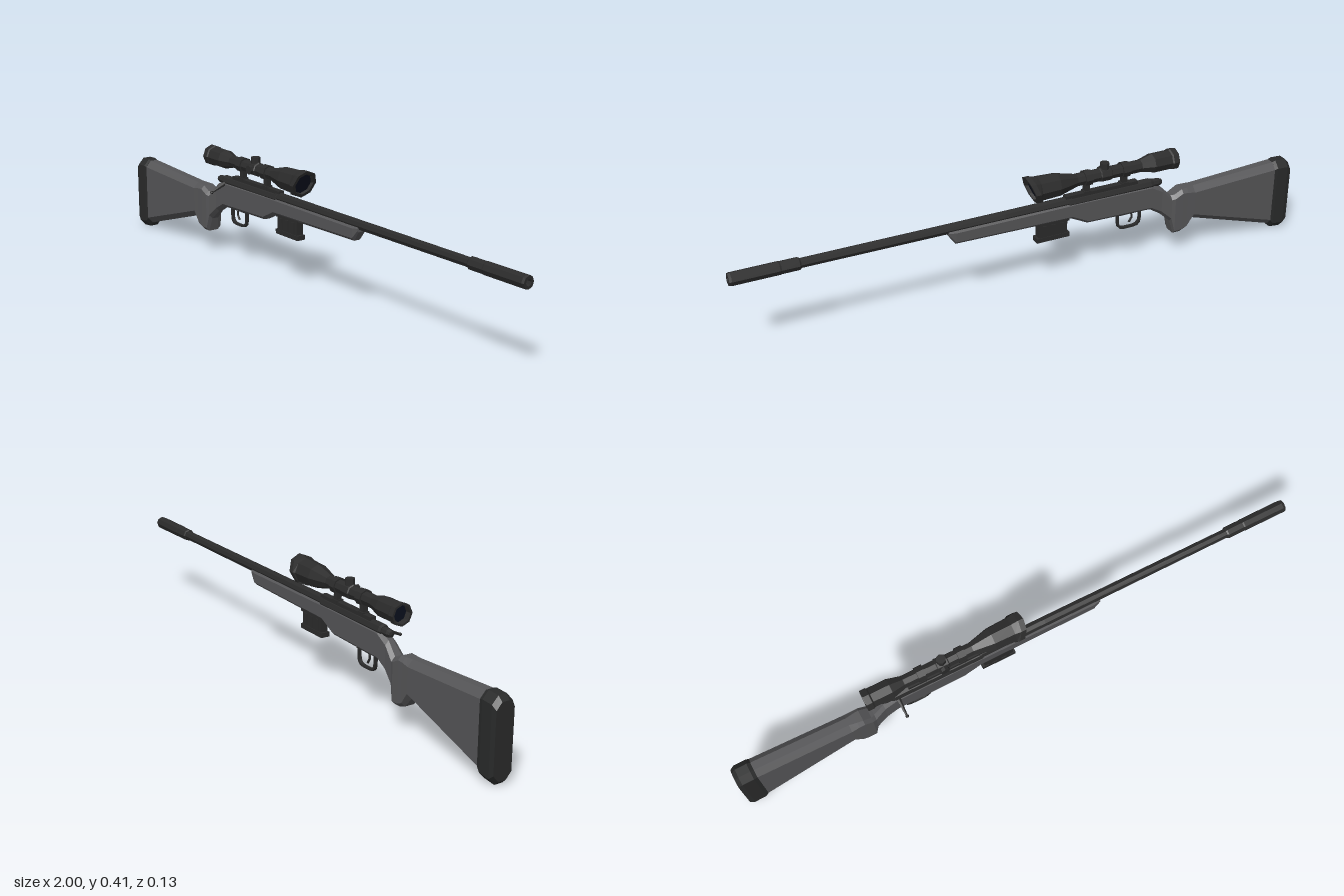
import * as THREE from 'three';

const mat = (color, extra = {}) =>
  new THREE.MeshStandardMaterial({ color, flatShading: true, ...extra });

export function createModel() {
  const root = new THREE.Group();
  const stockMat = mat(0x555557), metal = mat(0x2b2b2b), pad = mat(0x292a2a);
  const glass = mat(0x0a101d, { side: THREE.DoubleSide });

  const add = (name, geo, material, x = 0, y = 0, z = 0) => {
    const m = new THREE.Mesh(geo, material);
    m.name = name;
    m.position.set(x, y, z);
    root.add(m);
  };
  const box = (name, w, h, d, x, y) =>
    add(name, new THREE.BoxGeometry(w, h, d), metal, x, y);

  // Turned part along x from [x, radius] pairs
  const turned = (profile, sides = 8) => new THREE.LatheGeometry(
    profile.map(([x, r]) => new THREE.Vector2(r, x)), sides).rotateZ(-Math.PI / 2);

  // Chamfered loft along x; sections are [x, bottom, top, halfWidth, chamfer]
  const loft = (sections) => {
    const pos = [], index = [], n = 8;
    for (const [x, b, t, w, c] of sections) {
      const cw = Math.min(c, w * 0.6);
      for (const [y, z] of [[b, w - cw], [b + c, w], [t - c, w], [t, w - cw],
        [t, cw - w], [t - c, -w], [b + c, -w], [b, cw - w]]) pos.push(x, y, z);
    }
    const last = (sections.length - 1) * n;
    for (let s = 0; s < last; s += n)
      for (let i = 0; i < n; i++) {
        const a = s + i, b = s + (i + 1) % n;
        index.push(a, a + n, b, b, a + n, b + n);
      }
    for (let i = 1; i < n - 1; i++)
      index.push(0, i, i + 1, last, last + i + 1, last + i);
    const g = new THREE.BufferGeometry();
    g.setAttribute('position', new THREE.Float32BufferAttribute(pos, 3));
    g.setIndex(index);
    const flat = g.toNonIndexed();
    flat.computeVertexNormals();
    return flat;
  };

  // Stock with grip and fore-end
  add('stock', loft([
    [-0.94, 0.02, 0.265, 0.034, 0.022],
    [-0.607, 0.123, 0.247, 0.032, 0.02],
    [-0.58, 0.09, 0.246, 0.031, 0.014],
    [-0.56, 0.083, 0.245, 0.031, 0.012],
    [-0.532, 0.082, 0.23, 0.03, 0.012],
    [-0.52, 0.13, 0.228, 0.026, 0.014],
    [-0.482, 0.165, 0.266, 0.021, 0.013],
    [-0.44, 0.192, 0.286, 0.021, 0.01],
    [-0.2, 0.198, 0.289, 0.021, 0.01],
    [-0.14, 0.228, 0.289, 0.021, 0.01],
    [0.275, 0.235, 0.287, 0.021, 0.01],
    [0.298, 0.268, 0.285, 0.018, 0.005],
  ]), stockMat);
  add('buttPad', loft([
    [-1, 0.016, 0.252, 0.032, 0.022],
    [-0.985, 0.002, 0.267, 0.036, 0.023],
    [-0.945, 0.006, 0.269, 0.036, 0.023],
    [-0.933, 0.02, 0.265, 0.034, 0.022],
  ]), pad);

  // Barrel and muzzle
  add('barrel', turned([[-0.14, 0], [-0.14, 0.018], [0.1, 0.017], [0.78, 0.016], [0.79, 0]]), metal, 0, 0.288);
  add('muzzle', turned([[0.778, 0], [0.778, 0.018], [0.783, 0.021], [0.84, 0.021],
    [0.845, 0.022], [0.992, 0.022], [1, 0.02], [1, 0.011], [0.95, 0.011], [0.95, 0]]), metal, 0, 0.288);

  // Receiver, rail and bolt
  add('receiver', turned([[-0.45, 0], [-0.45, 0.017], [-0.44, 0.02], [-0.13, 0.02], [-0.12, 0]]), metal, 0, 0.284);
  box('scopeRail', 0.27, 0.012, 0.022, -0.255, 0.305);
  add('boltShroud', turned([[-0.488, 0], [-0.485, 0.01], [-0.472, 0.014], [-0.445, 0.015], [-0.43, 0]]), metal, 0, 0.284);
  const bolt = new THREE.Group();
  bolt.name = 'boltHandle';
  const arm = new THREE.Mesh(new THREE.CylinderGeometry(0.0035, 0.008, 0.075, 6), metal);
  arm.name = 'boltArm';
  arm.position.y = 0.0375;
  const knob = new THREE.Mesh(new THREE.SphereGeometry(0.006, 6, 4), metal);
  knob.name = 'boltKnob';
  knob.position.y = 0.07;
  bolt.add(arm, knob);
  bolt.position.set(-0.43, 0.281, 0.008);
  bolt.rotation.x = Math.PI / 2 + 0.4;
  root.add(bolt);

  // Trigger guard and trigger
  const rounded = (x0, y0, x1, y1, r, S) => {
    const p = new S();
    p.moveTo(x0, y1);
    p.lineTo(x0, y0 + r);
    p.quadraticCurveTo(x0, y0, x0 + r, y0);
    p.lineTo(x1 - r, y0);
    p.quadraticCurveTo(x1, y0, x1, y0 + r);
    p.lineTo(x1, y1);
    p.closePath();
    return p;
  };
  const guard = rounded(-0.41, 0.136, -0.318, 0.205, 0.028, THREE.Shape);
  guard.holes.push(rounded(-0.403, 0.143, -0.325, 0.194, 0.023, THREE.Path));
  add('triggerGuard', new THREE.ExtrudeGeometry(guard,
    { depth: 0.011, bevelEnabled: false, curveSegments: 3 }), metal, 0, 0, -0.0055);
  box('guardPlate', 0.12, 0.008, 0.016, -0.375, 0.195);
  const trig = new THREE.CatmullRomCurve3([[-0.37, 0.2], [-0.377, 0.175], [-0.366, 0.156]]
    .map(([x, y]) => new THREE.Vector3(x, y, 0)));
  add('trigger', new THREE.TubeGeometry(trig, 5, 0.004, 5), metal);

  // Magazine with side ribs
  box('magazine', 0.104, 0.07, 0.026, -0.072, 0.208);
  box('magazineBase', 0.12, 0.016, 0.031, -0.072, 0.174);
  box('magazineCollar', 0.118, 0.012, 0.031, -0.072, 0.231);
  for (const x of [-0.105, -0.072, -0.039]) box('magazineRib', 0.014, 0.04, 0.031, x, 0.203);

  // Scope body, with the sunshade rim cut at a slant
  const sy = 0.36, slant = 0.36;
  const body = turned([[-0.515, 0.028], [-0.535, 0.03], [-0.535, 0.037], [-0.515, 0.037], [-0.51, 0.034],
    [-0.445, 0.034], [-0.4, 0.022], [-0.16, 0.022], [-0.09, 0.04], [-0.02, 0.043],
    [-0.012, 0.048], [0.006, 0.048], [0.006, 0.037], [-0.006, 0.034]]);
  const p = body.attributes.position;
  for (let i = 0; i < p.count; i++)
    if (p.getX(i) > -0.015) p.setX(i, p.getX(i) + p.getY(i) * slant);
  add('scopeBody', body, metal, 0, sy);
  const objective = new THREE.CircleGeometry(0.035, 8).rotateY(Math.PI / 2);
  const lp = objective.attributes.position;
  for (let i = 0; i < lp.count; i++) lp.setX(i, lp.getY(i) * slant);
  add('objectiveLens', objective, glass, -0.005, sy);
  add('eyepieceLens', new THREE.CircleGeometry(0.029, 8).rotateY(-Math.PI / 2), glass, -0.516, sy);

  // Scope rings and mounts
  for (const x of [-0.34, -0.2]) {
    add('scopeRing', turned([[-0.013, 0.021], [-0.013, 0.027], [0.013, 0.027], [0.013, 0.021]]), metal, x, sy);
    box('scopeMount', 0.018, 0.04, 0.018, x, 0.323);
    box('mountFoot', 0.026, 0.012, 0.026, x, 0.309);
  }

  // Adjustment turrets on the top and one side
  add('turretCollar', turned([[-0.022, 0.021], [-0.018, 0.025], [0.018, 0.025], [0.022, 0.021]]), metal, -0.266, sy);
  add('topTurret', new THREE.CylinderGeometry(0.016, 0.016, 0.03, 8), metal, -0.266, 0.386);
  add('sideTurret', new THREE.CylinderGeometry(0.016, 0.016, 0.022, 8).rotateX(Math.PI / 2),
    metal, -0.266, sy, 0.02);

  // The bolt handle sticks out to one side, so the body sits off centre
  for (const part of root.children) part.position.z -= 0.0165;
  return root;
}
